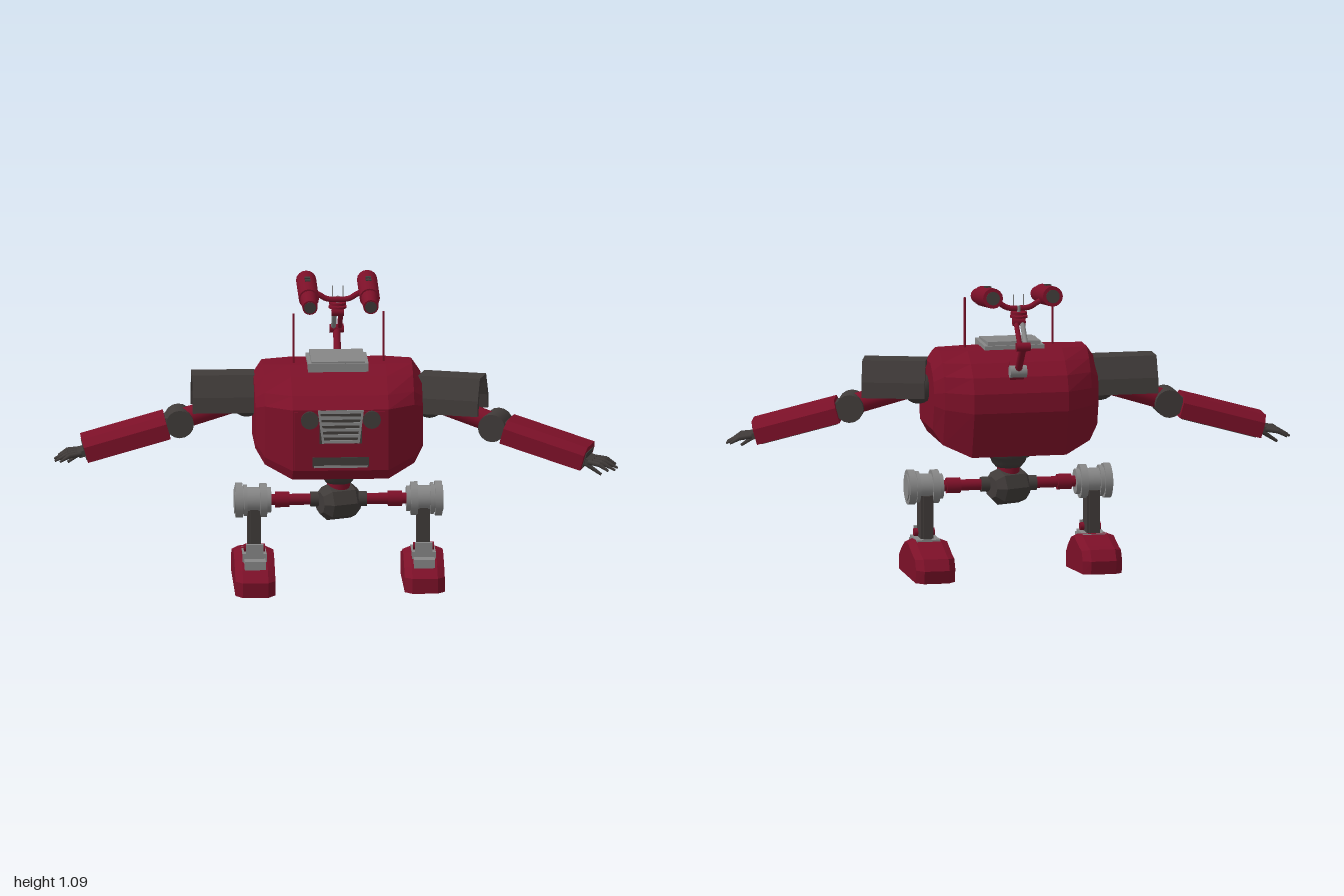
import * as THREE from 'three';

const mat = (name, color) => Object.assign(new THREE.MeshStandardMaterial({ color }), { name });
const red = mat('crimson armour', 0x7c1028);
const dark = mat('dark metal', 0x403b39);
const grey = mat('light grey metal', 0x868686);
red.flatShading = false;

function group(name, parent) {
  const g = new THREE.Group();
  g.name = name;
  parent.add(g);
  return g;
}
function add(parent, name, geo, m, x = 0, y = 0, z = 0) {
  const mesh = new THREE.Mesh(geo, m);
  mesh.name = name;
  mesh.position.set(x, y, z);
  parent.add(mesh);
  return mesh;
}
const box = (p, name, m, w, h, d, x, y, z) => add(p, name, new THREE.BoxGeometry(w, h, d), m, x, y, z);

// Straight round bar between two points
function rod(p, name, m, a, b, r0, r1 = r0, sides = 16) {
  const A = new THREE.Vector3(...a), B = new THREE.Vector3(...b), d = B.clone().sub(A);
  const mesh = add(p, name, new THREE.CylinderGeometry(r1, r0, d.length(), sides), m);
  mesh.position.copy(A).add(B).multiplyScalar(0.5);
  mesh.quaternion.setFromUnitVectors(new THREE.Vector3(0, 1, 0), d.normalize());
  return mesh;
}

// Faceted hull: a [z, y] side profile (front bottom, up, over, down the back) swept
// through sections [x, depth scale, upper scale, lower scale] about (cz, cy)
function hull(profile, sections, cz, cy) {
  const rings = sections.map(([x, sz, st, sb]) => profile.map(([z, y]) =>
    [x, cy + (y - cy) * (y > cy ? st : sb), cz + (z - cz) * sz]));
  const pos = [], n = profile.length;
  const tri = (...v) => v.forEach(q => pos.push(...q));
  const last = rings.length - 1;
  for (let i = 0; i < n; i++) {
    const j = (i + 1) % n;
    for (let k = 0; k < last; k++) {
      const a = rings[k], b = rings[k + 1];
      tri(a[i], b[i], b[j]);
      tri(a[i], b[j], a[j]);
    }
    tri([sections[0][0], cy, cz], rings[0][i], rings[0][j]);
    tri([sections[last][0], cy, cz], rings[last][j], rings[last][i]);
  }
  const g = new THREE.BufferGeometry();
  g.setAttribute('position', new THREE.Float32BufferAttribute(pos, 3));
  g.computeVertexNormals();
  return g;
}

// Extrude a [z, y] outline along +x
function prism(points, length) {
  const shape = new THREE.Shape(points.map(([z, y]) => new THREE.Vector2(-z, y)));
  return new THREE.ExtrudeGeometry(shape, { depth: length, bevelEnabled: false }).rotateY(Math.PI / 2);
}

function buildBody(root) {
  const g = group('body', root);
  g.position.x = 0.01;
  const profile = [[0.268, 0.455], [0.285, 0.49], [0.285, 0.71], [0.24, 0.752], [0.15, 0.8], [0.06, 0.826],
    [-0.06, 0.826], [-0.12, 0.79], [-0.165, 0.745], [-0.188, 0.69], [-0.188, 0.62], [-0.14, 0.455]];
  const side = [[0.17, 1, 1, 1], [0.265, 0.72, 0.99, 0.8], [0.297, 0.56, 0.72, 0.55]];
  const sections = [...side.map(([x, ...r]) => [-x, ...r]).reverse(), ...side];
  add(g, 'hullShell', hull(profile, sections, 0.03, 0.66), red);
  // Roof hatch
  box(g, 'hatchBase', grey, 0.215, 0.03, 0.18, 0, 0.825, 0.03);
  const lid = box(g, 'hatchLid', grey, 0.19, 0.014, 0.165, 0, 0.843, 0.03);
  lid.rotation.x = 0.05;
  // Face plate with lamps, grille and slot
  box(g, 'facePlate', red, 0.33, 0.21, 0.006, 0, 0.6, 0.286);
  box(g, 'grilleBacking', dark, 0.15, 0.12, 0.006, 0, 0.65, 0.289);
  for (let i = 0; i < 6; i++) box(g, 'grilleBar', grey, 0.12 + i * 0.007, 0.011, 0.008, 0, 0.597 + i * 0.0215, 0.292);
  for (const s of [-1, 1]) {
    box(g, 'grilleSide', grey, 0.008, 0.12, 0.008, s * 0.07, 0.65, 0.291).rotation.z = -s * 0.13;
    rod(g, 'lamp', dark, [s * 0.11, 0.675, 0.27], [s * 0.11, 0.675, 0.296], 0.032);
  }
  box(g, 'slot', dark, 0.2, 0.035, 0.008, 0, 0.522, 0.288);
  box(g, 'slotLip', grey, 0.19, 0.008, 0.008, 0, 0.506, 0.291);
  // Aerials
  rod(g, 'aerial', red, [-0.155, 0.8, 0.035], [-0.155, 1.005, 0.035], 0.004, 0.004, 8);
  rod(g, 'aerial', red, [0.165, 0.8, 0.018], [0.165, 1.005, 0.018], 0.004, 0.004, 8);
}

function buildSensor(root) {
  const g = group('sensorMast', root);
  g.position.x = 0.024;
  box(g, 'mastBracket', red, 0.05, 0.06, 0.05, 0, 0.765, -0.16).rotation.x = -0.7;
  rod(g, 'baseJoint', grey, [-0.03, 0.77, -0.19], [0.03, 0.77, -0.19], 0.022);
  rod(g, 'lowerMast', red, [0, 0.77, -0.19], [0, 0.875, -0.285], 0.013);
  rod(g, 'elbowJoint', red, [-0.025, 0.875, -0.285], [0.025, 0.875, -0.285], 0.016);
  for (const s of [-1, 1]) rod(g, 'upperMast', s < 0 ? grey : red, [s * 0.011, 0.875, -0.285], [s * 0.011, 0.955, -0.207], 0.009);
  rod(g, 'topJoint', red, [-0.022, 0.953, -0.207], [0.022, 0.953, -0.207], 0.015);
  rod(g, 'turntable', red, [0, 0.968, -0.207], [0, 0.975, -0.207], 0.032);
  rod(g, 'turntable', red, [0, 0.98, -0.207], [0, 0.988, -0.207], 0.03);
  rod(g, 'pivotPin', grey, [0, 0.95, -0.207], [0, 1.01, -0.207], 0.006);
  // Curved yoke carrying the twin scopes
  const yoke = new THREE.CatmullRomCurve3([[-0.108, 1.035], [-0.07, 1.02], [-0.04, 1.003], [0, 1.0], [0.04, 1.003],
    [0.07, 1.02], [0.108, 1.035]].map(([x, y]) => new THREE.Vector3(x, y, -0.2)));
  add(g, 'yoke', new THREE.TubeGeometry(yoke, 24, 0.01, 8), red);
  for (const x of [-0.018, 0.018]) rod(g, 'yokePin', grey, [x, 1.0, -0.2], [x, 1.05, -0.2], 0.002, 0.002, 6);
  for (const s of [-1, 1]) {
    const scope = group('scope', g);
    scope.position.set(s * 0.108, 1.035, -0.145);
    scope.rotation.x = 0.125;
    rod(scope, 'scopeRear', red, [0, 0, -0.138], [0, 0, 0.055], 0.036);
    rod(scope, 'scopeFront', red, [0, 0, 0.055], [0, -0.003, 0.138], 0.031, 0.027);
    rod(scope, 'lens', dark, [0, -0.003, 0.135], [0, -0.003, 0.141], 0.021);
    rod(scope, 'rearCap', dark, [0, 0, -0.142], [0, 0, -0.136], 0.024);
    for (const z of [-0.06, -0.035]) box(scope, 'scopeClip', dark, 0.02, 0.01, 0.014, 0, 0.034, z);
  }
}

function buildArm(root, name) {
  const g = group(name, root);
  add(g, 'shoulderBall', new THREE.SphereGeometry(0.056, 20, 14), dark, 0.02, 0.68);
  rod(g, 'upperArm', red, [0.02, 0.69, 0], [0.27, 0.612, 0], 0.037);
  // Open channel pauldron
  const outer = [[-0.085, 0.655], [-0.078, 0.71], [-0.046, 0.785], [0.046, 0.785], [0.078, 0.71], [0.085, 0.655]];
  const inner = [[0.068, 0.655], [0.06, 0.705], [0.036, 0.765], [-0.036, 0.765], [-0.06, 0.705], [-0.068, 0.655]];
  add(g, 'pauldron', prism([...outer, ...inner], 0.225), dark, -0.01);
  // Elbow drum and ball
  rod(g, 'elbowDrum', dark, [0.26, 0.61, -0.058], [0.26, 0.61, 0.058], 0.05);
  // Forearm frame, sloping down along local x
  const f = group('forearm', g);
  f.position.set(0.28, 0.607, 0);
  f.rotation.z = -0.275;
  box(f, 'forearmNeck', dark, 0.06, 0.06, 0.09, 0.02, 0, 0);
  add(f, 'forearmShell', prism([[-0.078, -0.04], [-0.078, 0.016], [-0.052, 0.042], [0.052, 0.042], [0.078, 0.016],
    [0.078, -0.04]], 0.305), red, 0.025);
  box(f, 'forearmUnderside', dark, 0.28, 0.006, 0.125, 0.175, -0.041, 0);
  box(f, 'wristPlate', dark, 0.008, 0.055, 0.11, 0.329, -0.006, 0);
  // Hand
  box(f, 'palm', dark, 0.03, 0.022, 0.09, 0.34, -0.012, 0);
  for (let i = 0; i < 4; i++) {
    const z = -0.042 + i * 0.028, tip = i === 0 || i === 3 ? 0.425 : 0.442;
    rod(f, 'fingerBase', dark, [0.345, -0.01, z], [0.39, -0.004, z * 1.2], 0.009, 0.009, 8);
    rod(f, 'fingerTip', dark, [0.388, -0.004, z * 1.2], [tip, -0.014, z * 1.35], 0.009, 0.004, 8);
  }
  rod(f, 'thumb', dark, [0.335, -0.02, 0.035], [0.4, -0.042, 0.03], 0.009, 0.005, 8);
  return g;
}

function buildHips(root) {
  const g = group('hips', root);
  g.position.set(0.015, 0, 0.03);
  const ring = [[0, 0.39], [0.045, 0.39], [0.06, 0.408], [0.066, 0.425], [0.076, 0.427], [0.084, 0.44], [0.087, 0.46], [0, 0.46]];
  add(g, 'waistCollar', new THREE.LatheGeometry(ring.map(p => new THREE.Vector2(...p)), 28), dark);
  rod(g, 'waistColumn', red, [0, 0.34, 0], [0, 0.4, 0], 0.041);
  const block = [[0, -0.073], [0.04, -0.073], [0.065, -0.045], [0.065, 0.045], [0.04, 0.073], [0, 0.073]];
  const geo = new THREE.LatheGeometry(block.map(p => new THREE.Vector2(...p)), 8).toNonIndexed();
  geo.computeVertexNormals();
  add(g, 'hipBlock', geo.rotateX(Math.PI / 8).rotateZ(Math.PI / 2), dark, 0, 0.32);
  for (const s of [-1, 1]) {
    rod(g, 'axle', red, [s * 0.06, 0.328, 0], [s * 0.27, 0.328, 0], 0.02);
    rod(g, 'axleCollar', dark, [s * 0.07, 0.328, 0], [s * 0.1, 0.328, 0], 0.027);
    rod(g, 'axleSleeve', red, [s * 0.175, 0.328, 0], [s * 0.225, 0.328, 0], 0.028);
  }
}

function buildLeg(root, s) {
  const g = group(s > 0 ? 'leftLeg' : 'rightLeg', root);
  g.position.set(0.015 + s * 0.3, 0, 0.03);
  // Knee drum made of stacked discs: [inner offset, outer offset, radius]
  for (const [a, b, r] of [[-0.06, -0.045, 0.045], [-0.045, -0.02, 0.06], [-0.02, 0.025, 0.046], [0.025, 0.037, 0.056],
    [0.037, 0.041, 0.05], [0.041, 0.066, 0.062], [0.066, 0.07, 0.047]])
    rod(g, 'kneeDisc', grey, [s * a, 0.327, 0], [s * b, 0.327, 0], r, r, 28);
  box(g, 'shin', dark, 0.046, 0.2, 0.07, 0, 0.225, -0.002);
  box(g, 'shinRib', dark, 0.03, 0.17, 0.086, 0, 0.215, -0.004);
  // Ankle
  box(g, 'anklePlate', grey, 0.085, 0.03, 0.12, 0, 0.13, 0);
  box(g, 'toePlate', grey, 0.075, 0.03, 0.07, 0, 0.112, 0.075);
  box(g, 'ankleBracket', grey, 0.062, 0.06, 0.016, 0, 0.148, 0.053);
  rod(g, 'anklePin', red, [-0.037, 0.16, 0.025], [0.037, 0.16, 0.025], 0.014);
  // Foot
  const profile = [[0.176, 0.013], [0.176, 0.067], [0.13, 0.1], [0.055, 0.138], [-0.012, 0.144],
    [-0.125, 0.108], [-0.168, 0.1], [-0.19, 0.06], [-0.177, 0.013]];
  const sections = [[-0.071, 0.84, 0.88, 1], [-0.045, 1, 1, 1], [0.045, 1, 1, 1], [0.071, 0.84, 0.88, 1]];
  const foot = add(g, 'foot', hull(profile, sections, 0, 0.06), red, 0, 0, -0.03);
  if (s < 0) {
    foot.rotation.x = 0.08;
    foot.position.set(0, 0.002, -0.046);
  }
}

export function createModel() {
  const root = new THREE.Group();
  root.name = 'walkingRobot';
  buildBody(root);
  buildSensor(root);
  buildHips(root);
  for (const s of [-1, 1]) buildLeg(root, s);
  const left = buildArm(root, 'leftArm');
  left.position.set(0.318, 0, 0.04);
  left.rotation.y = -0.29;
  const right = buildArm(root, 'rightArm');
  right.position.set(-0.289, 0, -0.005);
  right.rotation.y = Math.PI;
  return root;
}
